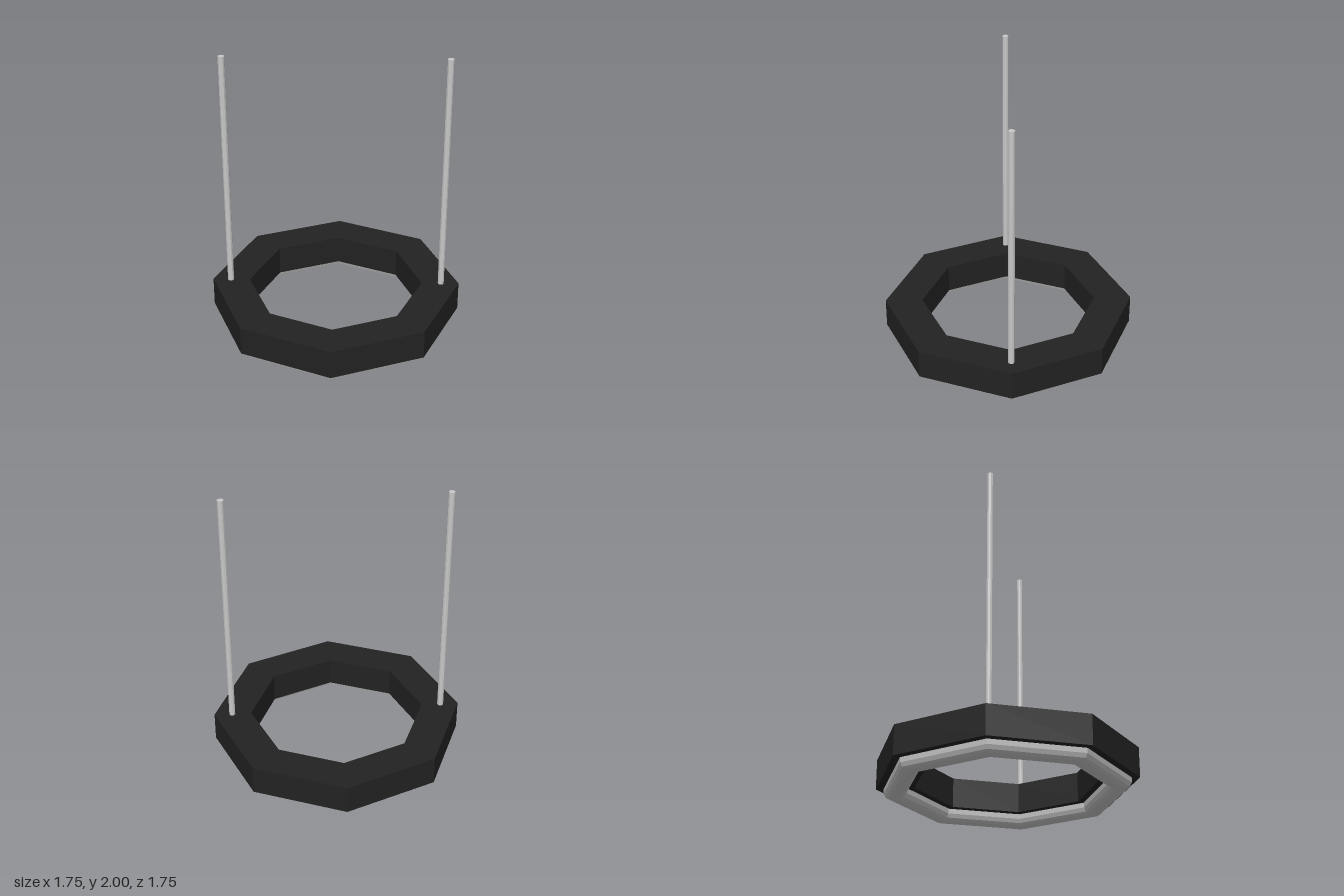
import * as THREE from 'three';

export function createModel() {
  const model = new THREE.Group();
  model.name = 'pendantRingLamp';

  const black = new THREE.MeshStandardMaterial({ color: 0x222222, flatShading: true });
  black.name = 'black housing';
  const silver = new THREE.MeshStandardMaterial({ color: 0xc8c8c8, flatShading: true });
  silver.name = 'light grey';

  const add = (name, geometry, material) => {
    const mesh = new THREE.Mesh(geometry, material);
    mesh.name = name;
    model.add(mesh);
    return mesh;
  };
  // Eight-sided ring from a radius/height profile
  const octagonRing = (profile) =>
    new THREE.LatheGeometry(profile.map(([r, y]) => new THREE.Vector2(r, y)), 8);

  // Rectangular octagonal housing
  add('housing', octagonRing([
    [0.615, 0.083], [0.877, 0.083], [0.877, 0.29], [0.615, 0.29], [0.615, 0.083],
  ]), black);

  // Rounded tube half sunk into the underside
  const outerHalf = [[0.013, 0], [0.042, 0.01], [0.063, 0.023], [0.076, 0.05], [0.08, 0.09]];
  const centre = 0.745;
  add('lightTube', octagonRing([
    ...outerHalf.map(([d, y]) => [centre - d, y]).reverse(),
    ...outerHalf.map(([d, y]) => [centre + d, y]),
  ]), silver);

  // Two hanging rods
  for (const [name, side] of [['leftRod', 1], ['rightRod', -1]]) {
    const rod = add(name, new THREE.CylinderGeometry(0.022, 0.022, 1.73, 10), silver);
    rod.position.set(side * 0.75, 1.135, 0);
  }

  return model;
}
